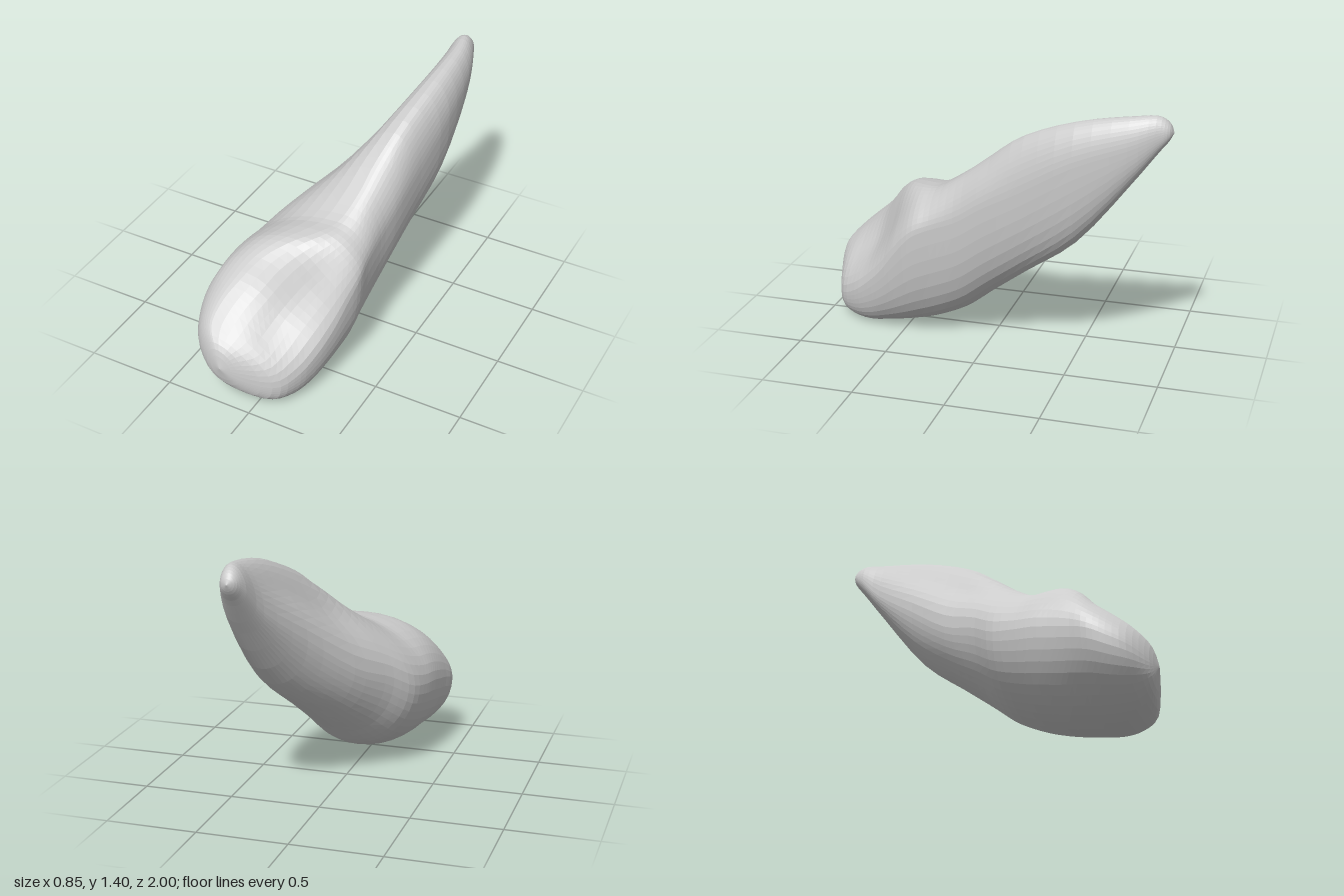
import * as THREE from 'three';

// Cross-sections from crown to root, each with its four extreme points:
// z, left x, left y, top x, top y, right x, right y, bottom x, bottom y
const SECTIONS = [
  [0.97, -0.27, 0.25, -0.21, 0.35, -0.06, 0.18, -0.13, 0.12],
  [0.9, -0.36, 0.3, -0.27, 0.43, 0.12, 0.15, 0.03, 0.04],
  [0.8, -0.41, 0.35, -0.26, 0.52, 0.2, 0.2, 0.06, 0.005],
  [0.7, -0.43, 0.4, -0.21, 0.61, 0.25, 0.28, 0.07, 0.0],
  [0.6, -0.42, 0.43, -0.12, 0.73, 0.29, 0.38, 0.05, 0.01],
  [0.5, -0.41, 0.45, 0.0, 0.81, 0.325, 0.51, 0.03, 0.02],
  [0.4, -0.4, 0.47, 0.1, 0.84, 0.35, 0.62, 0.02, 0.04],
  [0.3, -0.385, 0.48, 0.16, 0.86, 0.345, 0.67, 0.02, 0.07],
  [0.15, -0.345, 0.51, 0.2, 0.955, 0.348, 0.73, 0.02, 0.14],
  [0, -0.25, 0.6, 0.22, 1.07, 0.37, 0.83, 0.05, 0.26],
  [-0.2, -0.13, 0.69, 0.27, 1.22, 0.39, 0.94, 0.12, 0.42],
  [-0.5, 0.055, 0.92, 0.315, 1.34, 0.422, 1.12, 0.25, 0.665],
  [-0.8, 0.195, 1.15, 0.325, 1.395, 0.402, 1.24, 0.31, 1.04],
  [-0.93, 0.235, 1.29, 0.305, 1.4, 0.362, 1.3, 0.305, 1.215],
  [-0.98, 0.262, 1.325, 0.3, 1.365, 0.337, 1.32, 0.3, 1.28],
];
const CROWN_TIP = new THREE.Vector3(-0.17, 0.24, 1);
const ROOT_TIP = new THREE.Vector3(0.3, 1.32, -1);
const AROUND = 44;
const ALONG = 52;

// Depth of the dent in each quarter of a section
function dentDepth(z, onRight, onTop) {
  if (onRight && onTop) return 0.23 * Math.exp(-(((z - 0.67) / 0.22) ** 2)); // hollow inner crown face
  if (onTop) return 0.21 * Math.exp(-(((z + 0.28) / 0.42) ** 2)); // flattened root flank
  return onRight ? -0.06 : 0; // fuller lower side
}

// Point on a section: four quarter arcs joined at the extremes
function sectionPoint([z, lx, ly, tx, ty, rx, ry, bx, by], angle) {
  const c = Math.cos(angle), s = Math.sin(angle);
  const onRight = c >= 0, onTop = s >= 0;
  const midX = onTop ? tx : bx;
  const midY = onRight ? ry : ly;
  const scale = 1 - dentDepth(z, onRight, onTop) * Math.sin(2 * angle) ** 2;
  const x = midX + ((onRight ? rx : lx) - midX) * Math.abs(c) * scale;
  const y = midY + ((onTop ? ty : by) - midY) * Math.abs(s) * scale;
  return new THREE.Vector3(x, y, z);
}

// Closed skin: smooth lengthwise curves through all sections
function toothGeometry() {
  const positions = [], index = [];
  for (let j = 0; j < AROUND; j++) {
    const angle = (j / AROUND) * Math.PI * 2;
    const curve = new THREE.CatmullRomCurve3([
      CROWN_TIP,
      ...SECTIONS.map((section) => sectionPoint(section, angle)),
      ROOT_TIP,
    ]);
    for (let i = 0; i <= ALONG; i++) {
      positions.push(...curve.getPoint(i / ALONG).toArray());
    }
  }
  for (let j = 0; j < AROUND; j++) {
    const here = j * (ALONG + 1);
    const next = ((j + 1) % AROUND) * (ALONG + 1);
    for (let i = 0; i < ALONG; i++) {
      const a = here + i, b = next + i;
      if (i < ALONG - 1) index.push(a, a + 1, b + 1);
      if (i > 0) index.push(a, b + 1, b);
    }
  }
  const geometry = new THREE.BufferGeometry();
  geometry.setAttribute('position', new THREE.Float32BufferAttribute(positions, 3));
  geometry.setIndex(index);
  geometry.computeVertexNormals();
  return geometry;
}

export function createModel() {
  const model = new THREE.Group();
  model.name = 'tooth';
  const material = new THREE.MeshStandardMaterial({ color: 0xcccccc, flatShading: true });
  const tooth = new THREE.Mesh(toothGeometry(), material);
  tooth.name = 'crownAndRoot';
  model.add(tooth);
  return model;
}
